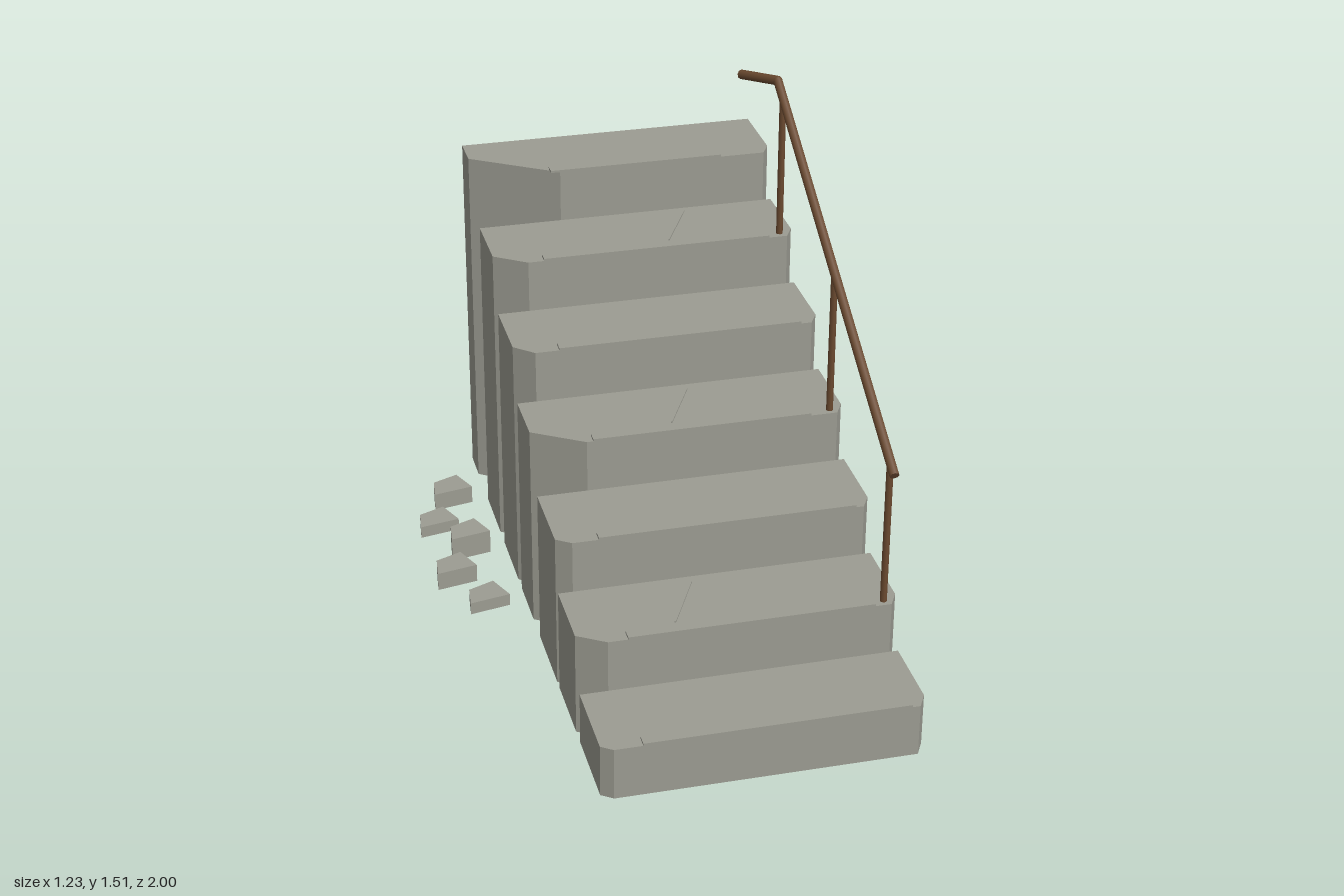
import * as THREE from 'three';

const concrete = new THREE.MeshStandardMaterial({ color: 0x9c9c92 });
concrete.name = 'concrete';
const rust = new THREE.MeshStandardMaterial({ color: 0x6b4a30 });
rust.name = 'rusty brown';

const STEPS = 7, DEPTH = 2 / STEPS, RISE = 0.1675;
const LEFT = -0.355, RIGHT = 0.61, RAIL_X = 0.565;

// Vertical prism standing on y = 0 from a plan outline of [x, z] points
function prism(name, points, height) {
  const shape = new THREE.Shape(points.map(([x, z]) => new THREE.Vector2(x, -z)));
  const geo = new THREE.ExtrudeGeometry(shape, { depth: height, bevelEnabled: false });
  geo.rotateX(-Math.PI / 2);
  const mesh = new THREE.Mesh(geo, concrete);
  mesh.name = name;
  return mesh;
}

// Round bar between two points
function bar(name, a, b, radius) {
  const from = new THREE.Vector3(...a), to = new THREE.Vector3(...b);
  const dir = to.clone().sub(from);
  const mesh = new THREE.Mesh(new THREE.CylinderGeometry(radius, radius, dir.length(), 8), rust);
  mesh.position.copy(from).add(to).multiplyScalar(0.5);
  mesh.quaternion.setFromUnitVectors(new THREE.Vector3(0, 1, 0), dir.normalize());
  mesh.name = name;
  return mesh;
}

export function createModel() {
  const model = new THREE.Group();
  model.name = 'brokenStaircase';

  // Per step: broken corner width and depth, then the worn nosing's x range
  const steps = [
    [0.035, 0.025, -0.235, 0.56],
    [0.085, 0.055, -0.21, 0.535],
    [0.045, 0.032, -0.23, 0.56],
    [0.155, 0.1, -0.18, 0.5],
    [0.06, 0.055, -0.22, 0.55],
    [0.1, 0.07, -0.205, 0.525],
    [0.265, 0.175, -0.12, 0.44],
  ];
  steps.forEach(([cutX, cutZ, x0, x1], i) => {
    const front = 1 - i * DEPTH, back = front - DEPTH, top = RISE * (i + 1);
    model.add(prism('step', [
      [LEFT, back], [LEFT, front - cutZ], [LEFT + cutX, front],
      [RIGHT - 0.027, front], [RIGHT, front - 0.05], [RIGHT, back],
    ], top));

    // Raised strip along the front edge of the tread
    const nosing = new THREE.Mesh(new THREE.BoxGeometry(x1 - x0, 0.007, 0.034), concrete);
    nosing.position.set((x0 + x1) / 2, top + 0.0035, front - 0.017);
    nosing.name = 'nosing';
    model.add(nosing);
  });

  // Thin crack ridges on every second tread
  [[1, -0.007, 0.56], [3, 0.125, -0.012], [5, 0.26, -0.585]].forEach(([i, x, z]) => {
    const crack = new THREE.Mesh(new THREE.BoxGeometry(0.004, 0.005, 0.225), concrete);
    crack.position.set(x, RISE * (i + 1) + 0.0025, z);
    crack.rotation.y = -Math.atan2(0.1, -0.2) + Math.PI;
    crack.rotation.y = Math.atan2(-0.1, 0.2);
    crack.name = 'crack';
    model.add(crack);
  });

  // Fallen chunks beside the stairs
  for (let i = 0; i < 5; i++) {
    const x = i % 2 ? -0.075 : 0, z = i * 0.1635;
    model.add(prism('rubble', [
      [-0.53 + x, -0.765 + z], [-0.54 + x, -0.685 + z],
      [-0.41 + x, -0.71 + z], [-0.447 + x, -0.8 + z],
    ], [0.06, 0.04, 0.08, 0.06, 0.04][i]));
  }

  // Handrail with a bent end, on three posts
  const handrail = new THREE.Group();
  handrail.name = 'handrail';
  const low = [RAIL_X, 0.78, 0.73], bend = [RAIL_X, 1.5, -0.515], end = [0.485, 1.475, -0.655];
  handrail.add(bar('rail', low, bend, 0.015), bar('railEnd', bend, end, 0.015));
  const joint = new THREE.Mesh(new THREE.SphereGeometry(0.015, 8, 6), rust);
  joint.position.set(...bend);
  joint.name = 'railJoint';
  handrail.add(joint);
  [[1, 0.69], [3, 0.12], [5, -0.455]].forEach(([i, z]) => {
    const railY = 0.78 + (0.73 - z) * (0.72 / 1.245);
    handrail.add(bar('post', [RAIL_X, RISE * (i + 1), z], [RAIL_X, railY, z], 0.011));
  });
  model.add(handrail);

  return model;
}
